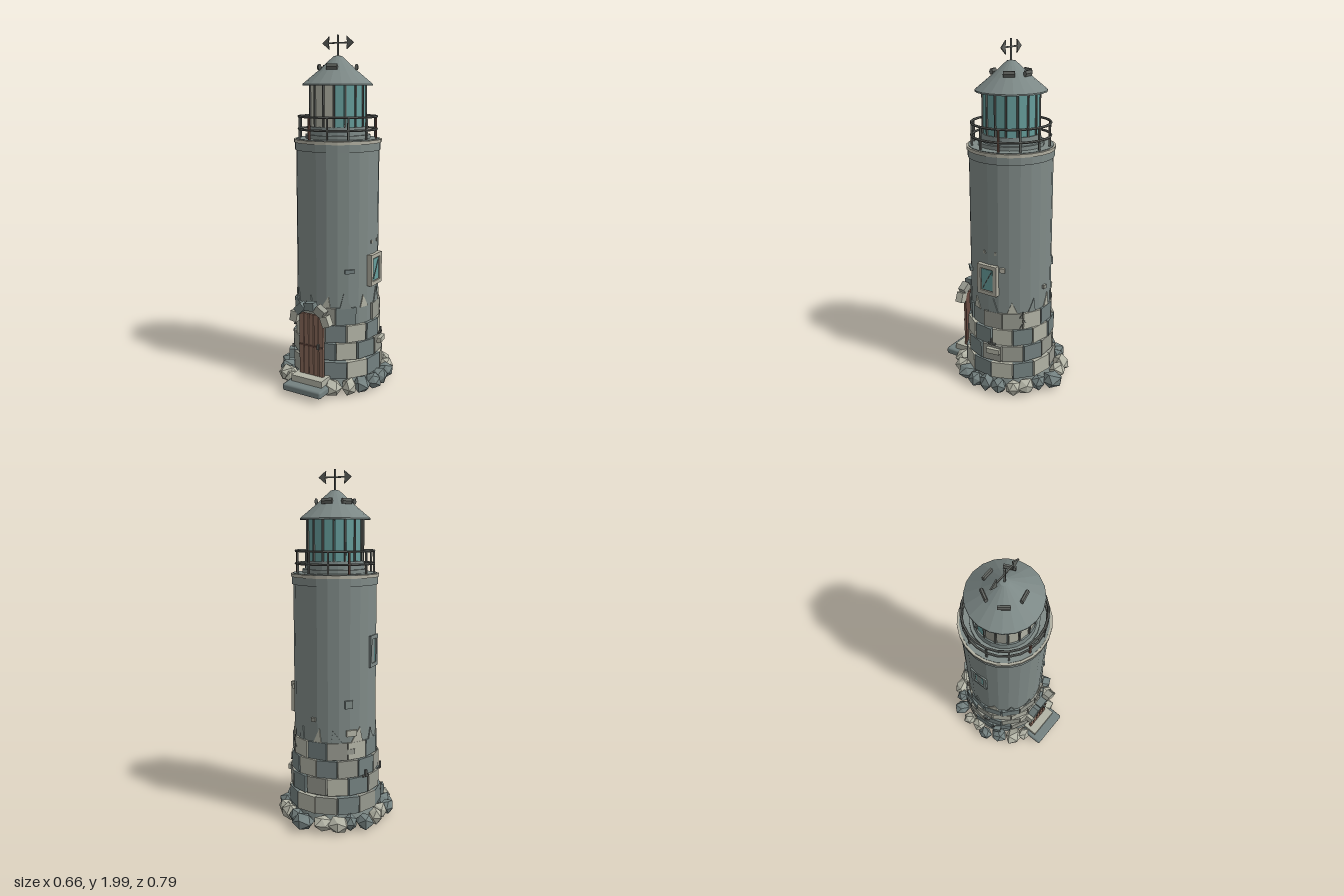
import * as THREE from 'three';
import { RoundedBoxGeometry } from 'three/addons/geometries/RoundedBoxGeometry.js';

const paint = (name, color) => {
  const m = new THREE.MeshStandardMaterial({ color });
  m.name = name;
  return m;
};

// Faceted normals for a low-poly look
const flat = (g) => {
  const f = g.index ? g.toNonIndexed() : g;
  f.computeVertexNormals();
  return f;
};

export function createModel() {
  const M = {
    wall: paint('wallGrey', 0x7f8a87), roof: paint('roofGrey', 0x7c8886),
    light: paint('lightStone', 0xb3b4a6), mid: paint('midStone', 0x989a90),
    blue: paint('blueStone', 0x748180), trim: paint('paleTrim', 0xb1afa1),
    glass: paint('tealGlass', 0x669d9b), wood: paint('doorWood', 0x8a6a5b),
    iron: paint('darkIron', 0x60635f), rust: paint('rust', 0x66493f),
  };
  const root = new THREE.Group();
  root.name = 'lighthouse';
  const tower = new THREE.Group();
  tower.name = 'tower';
  tower.position.set(0.008, 0, -0.016);
  root.add(tower);

  let seed = 11;
  const rnd = () => (seed = (seed * 16807) % 2147483647) / 2147483647;

  const add = (parent, name, geo, mat, x = 0, y = 0, z = 0) => {
    const m = new THREE.Mesh(geo, mat);
    m.name = name;
    m.position.set(x, y, z);
    parent.add(m);
    return m;
  };
  const box = (w, h, d) => new THREE.BoxGeometry(w, h, d);
  // Put a part on the round wall: azimuth 0 = front, 90 = +x
  const around = (name, geo, mat, deg, r, y) => {
    const a = THREE.MathUtils.degToRad(deg);
    const m = add(tower, name, geo, mat, r * Math.sin(a), y, r * Math.cos(a));
    m.rotation.y = a;
    return m;
  };
  const lathe = (name, pts, n, mat) => add(tower, name,
    flat(new THREE.LatheGeometry(pts.map((p) => new THREE.Vector2(...p)), n)), mat);
  const band = (name, r0, r1, y0, y1, mat, n = 24) =>
    lathe(name, [[0, y0], [r0, y0], [r1, y1], [0, y1]], n, mat);

  // Main shaft and gallery
  band('foundation', 0.265, 0.25, 0.035, 0.1, M.wall);
  band('shaft', 0.238, 0.237, 0.08, 1.38, M.wall);
  band('cornice', 0.244, 0.244, 1.37, 1.412, M.wall);
  band('galleryRim', 0.25, 0.25, 1.412, 1.43, M.trim);
  band('galleryFloor', 0.238, 0.238, 1.42, 1.434, M.wall);
  band('lanternBase', 0.185, 0.185, 1.43, 1.455, M.wall);
  band('lanternSill', 0.168, 0.165, 1.455, 1.5, M.roof);

  // Gallery railing
  for (const y of [1.485, 1.555]) {
    const rail = add(tower, 'rail', flat(new THREE.TorusGeometry(0.221, 0.007, 6, 24)), M.iron, 0, y);
    rail.rotation.x = Math.PI / 2;
  }
  for (let i = 0; i < 12; i++) {
    around('railPost', box(0.01, 0.13, 0.01), i % 4 === 3 ? M.rust : M.iron, i * 30 + 15, 0.221, 1.492);
  }

  // Lantern room: panes with narrow gaps, boarded toward the front left
  for (let i = 0; i < 16; i++) {
    const boarded = i === 0 || i >= 12;
    around(boarded ? 'lanternBoard' : 'lanternPane', box(0.048, 0.24, 0.007),
      boarded ? (i > 0 && i < 14 ? M.mid : M.light) : M.glass, (i + 0.5) * 22.5, 0.152, 1.615);
    around('mullion', box(0.008, 0.24, 0.012), M.iron, i * 22.5, 0.158, 1.615);
  }

  // Roof, roof vents and weather vane
  lathe('roof', [[0, 1.725], [0.199, 1.725], [0.199, 1.733], [0.112, 1.805], [0.024, 1.885], [0, 1.89]], 20, M.roof);
  for (const a of [180, 116, 12, -52, -118]) {
    around('roofVent', flat(new THREE.CylinderGeometry(0.01, 0.01, 0.062, 6).rotateZ(Math.PI / 2).scale(1, 1.8, 1)),
      M.iron, a, 0.105, 1.825);
  }
  add(tower, 'vaneMast', new THREE.CylinderGeometry(0.006, 0.006, 0.13, 6), M.iron, 0, 1.935);
  add(tower, 'vaneArm', box(0.15, 0.008, 0.007), M.iron, 0, 1.957);
  for (const s of [-1, 1]) {
    const head = new THREE.Shape([[0.1, 0], [0.055, 0.036], [0.06, 0], [0.055, -0.036]]
      .map(([x, y]) => new THREE.Vector2(x, y)));
    const m = add(tower, 'vaneHead', new THREE.ExtrudeGeometry(head, { depth: 0.007, bevelEnabled: false }).translate(0, 0, -0.0035), M.iron, 0, 1.957);
    m.rotation.y = s < 0 ? Math.PI : 0;
  }

  // Stone courses: one letter per block from the front toward +x, dash = missing
  const stone = { L: M.light, M: M.mid, B: M.blue };
  [[0.09, 0.264, 'MBLBLBLMBMBBM'], [0.198, 0.257, 'BLBMMBMLBMBML'],
    [0.3, 0.25, 'MBLBLBLBMBMLL'], [0.402, 0.244, 'MB-MMLBMLBBBM']].forEach(([y, r, row], k) => {
    [...row].forEach((letter, i) => {
      if (letter === '-') return;
      const w = 2 * r * Math.tan(Math.PI / 13) - 0.004 - rnd() * 0.008;
      around('stoneBlock', box(w, 0.098, 0.045), stone[letter], (i + (k % 2) * 0.5) * 360 / 13,
        r - 0.026 + rnd() * 0.007, y + 0.05).rotation.z = (rnd() - 0.5) * 0.03;
    });
  });

  // Jagged plaster edge above the stones
  for (let i = 0; i < 13; i++) {
    const h = 0.06 + rnd() * 0.035, w = 0.025 + rnd() * 0.015, tip = (rnd() - 0.5) * 0.05;
    const s = new THREE.Shape([new THREE.Vector2(-w, 0), new THREE.Vector2(w, 0), new THREE.Vector2(tip, h)]);
    around('plasterShard', new THREE.ExtrudeGeometry(s, { depth: 0.006, bevelEnabled: false }),
      i % 2 ? M.light : M.wall, i * 360 / 13 - 14, 0.235, 0.495);
  }

  // Foundation rocks: x, z, size, blue or pale; every rock a distorted icosahedron
  const rocks = [
    [0.055, -0.335, 0.06, 1], [-0.055, -0.31, 0.052, 0], [-0.14, -0.285, 0.056, 0], [-0.19, -0.24, 0.04, 1],
    [-0.255, -0.19, 0.05, 1], [-0.282, -0.095, 0.043, 0], [-0.275, -0.02, 0.047, 0], [-0.295, 0.055, 0.042, 1],
    [-0.245, 0.135, 0.053, 1], [-0.185, 0.22, 0.058, 0], [-0.13, 0.265, 0.04, 0], [0.13, 0.25, 0.055, 0],
    [0.21, 0.2, 0.047, 0], [0.255, 0.135, 0.052, 1], [0.29, 0.055, 0.045, 1], [0.285, -0.02, 0.048, 1],
    [0.285, -0.105, 0.047, 1], [0.25, -0.185, 0.044, 0], [0.2, -0.24, 0.05, 0], [0.13, -0.28, 0.042, 1],
  ];
  rocks.forEach(([x, z, r, blue], k) => {
    const g = new THREE.IcosahedronGeometry(1, 0);
    const p = g.attributes.position, v = new THREE.Vector3();
    for (let i = 0; i < p.count; i++) {
      v.fromBufferAttribute(p, i);
      v.multiplyScalar(1.06 + 0.13 * Math.sin(v.x * 5 + v.y * 7 + v.z * 3 + k * 2));
      p.setXYZ(i, v.x, v.y, v.z);
    }
    g.rotateY(k * 1.7).scale(r, 0.046, r);
    add(root, 'rock', flat(g), blue ? M.blue : M.light, x, 0.054, z);
  });

  // Entrance: steps, plank door, arch stones
  add(root, 'lowerStep', new RoundedBoxGeometry(0.25, 0.042, 0.15, 1, 0.012), M.blue, 0.008, 0.055, 0.317);
  add(root, 'upperStep', box(0.2, 0.036, 0.095), M.light, 0.008, 0.094, 0.288);
  add(root, 'doorBacking', box(0.155, 0.36, 0.006), M.rust, 0.008, 0.29, 0.268);
  for (let i = 0; i < 5; i++) {
    add(root, 'doorPlank', box(0.027, 0.36, 0.01), M.wood, 0.008 + (i - 2) * 0.032, 0.29, 0.276);
  }
  add(root, 'doorStrap', box(0.155, 0.01, 0.006), M.rust, 0.008, 0.285, 0.282);
  add(root, 'doorHandle', box(0.012, 0.03, 0.014), M.iron, 0.058, 0.29, 0.286);
  [15, 52, 90, 128, 165].forEach((d, i) => {
    const a = THREE.MathUtils.degToRad(d);
    const m = add(root, 'archStone', box(0.045, 0.06, 0.045), [M.light, M.mid, M.blue, M.blue, M.light][i],
      0.008 + 0.105 * Math.cos(a), 0.425 + 0.095 * Math.sin(a), 0.283);
    m.rotation.z = a + 0.1;
  });

  // Framed windows; the second is almost flush with the wall
  const windowAt = (deg, r, y, w, h, mat) => {
    for (const s of [-1, 1]) {
      around('windowFrame', box(0.022, h, 0.03), mat, deg, r, y).translateX(s * (w / 2 - 0.011));
      around('windowFrame', box(w, 0.022, 0.03), mat, deg, r, y + s * (h / 2 - 0.011));
    }
    around('windowReveal', box(w - 0.04, h - 0.04, 0.008), M.iron, deg, r + 0.002, y);
    around('windowGlass', box(w - 0.056, h - 0.056, 0.008), M.glass, deg, r + 0.005, y);
  };
  windowAt(90, 0.242, 0.7, 0.128, 0.18, M.trim);
  windowAt(-89, 0.226, 1.0, 0.11, 0.18, M.wall);
  around('glassCrack', box(0.004, 0.12, 0.004), M.iron, 90, 0.252, 0.7).rotateZ(-0.5);
  around('shutterHinge', box(0.03, 0.025, 0.02), M.trim, 111, 0.24, 0.768);

  // Loose bricks showing through the wall: azimuth, height, width, tall, material
  [[46, 0.71, 0.055, 0.022, M.blue], [-137, 0.72, 0.045, 0.045, M.wall], [-185, 0.63, 0.025, 0.022, M.mid],
    [-133, 0.555, 0.06, 0.035, M.light], [-134, 0.45, 0.045, 0.03, M.mid]]
    .forEach(([a, y, w, h, mat]) => around('looseBrick', box(w, h, 0.03), mat, a, 0.234, y));
  for (const a of [84, 101]) around('wallChip', box(0.015, 0.018, 0.03), M.mid, a, 0.225, 0.86);
  around('looseBrick', box(0.08, 0.03, 0.04), M.light, 100, 0.262, 0.268);
  around('looseBrick', box(0.05, 0.055, 0.03), M.blue, -62, 0.275, 0.14);

  // Iron hooks on the stonework
  for (const [a, y] of [[-115, 0.3], [-78, 0.3], [-66, 0.15], [98, 0.31]]) {
    around('ironHook', box(0.045, 0.01, 0.012), M.iron, a, 0.266, y);
    around('ironHook', box(0.01, 0.04, 0.012), M.iron, a, 0.27, y + 0.015);
  }

  // Zigzag crack
  for (let i = 0; i < 3; i++) {
    around('crack', box(0.006, 0.042, 0.006), M.iron, 138 + (i % 2 ? 1.5 : -1.5), 0.25, 0.46 + (i - 1) * 0.033)
      .rotateZ(i % 2 ? 0.6 : -0.5);
  }
  return root;
}
